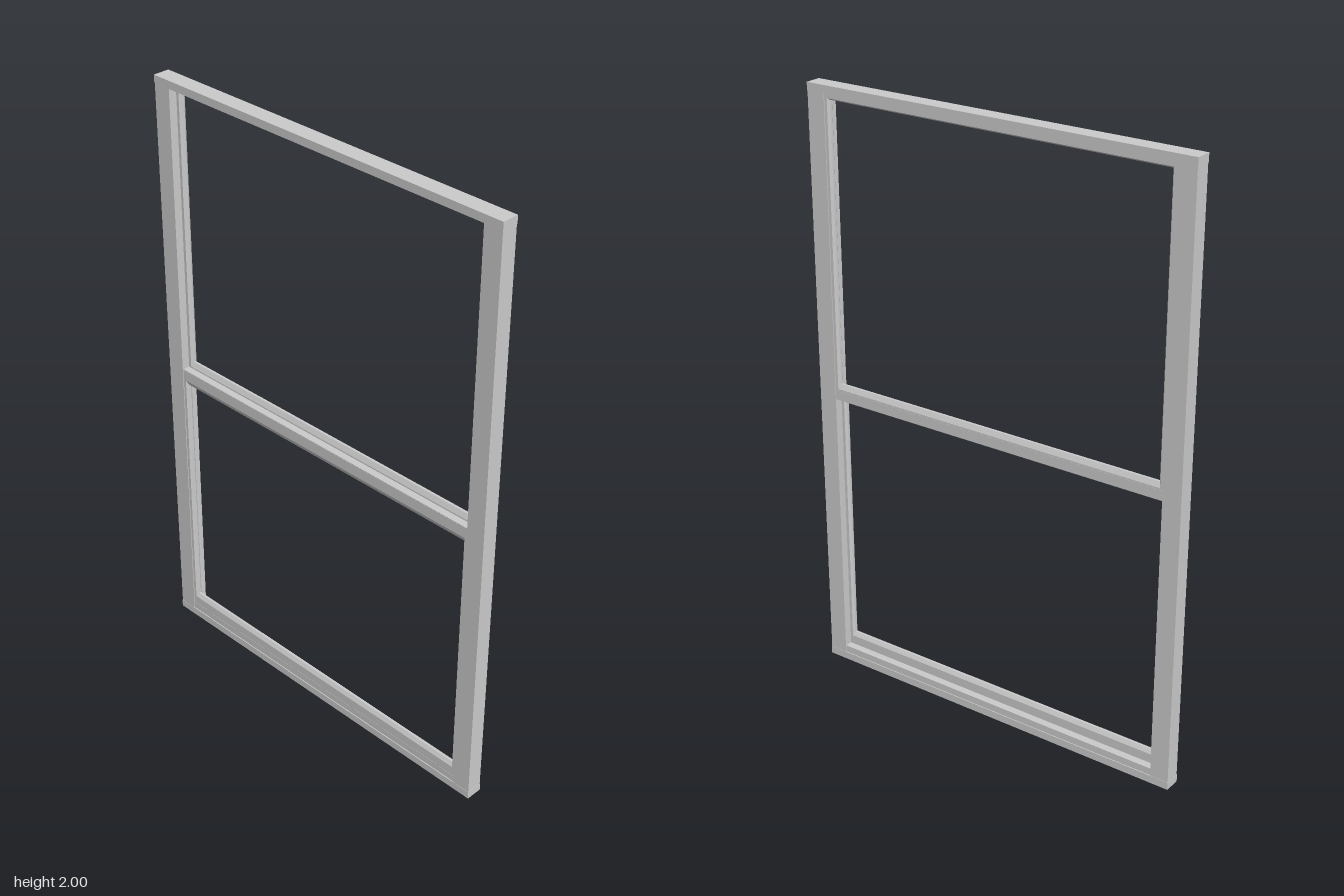
import * as THREE from 'three';

const material = new THREE.MeshStandardMaterial({ color: 0xcccccc, flatShading: true });

function addBox(group, name, w, h, d, x, y, z) {
  const mesh = new THREE.Mesh(new THREE.BoxGeometry(w, h, d), material);
  mesh.name = name;
  mesh.position.set(x, y, z);
  group.add(mesh);
}

// Mitred rectangular frame. Profile points are [inset fraction, z], from the
// back outer edge round the opening to the front outer edge.
function mitredFrame(x, y0, y1, widths, profile) {
  const { side, top, bottom } = widths;
  const corner = (c, [t, z]) => {
    const sx = c === 0 || c === 3 ? -1 : 1;
    const y = c < 2 ? y0 + bottom * t : y1 - top * t;
    return [sx * (x - side * t), y, z];
  };
  const positions = [];
  for (let c = 0; c < 4; c++) {
    const n = (c + 1) % 4;
    profile.forEach((p, i) => {
      const q = profile[(i + 1) % profile.length];
      const a = corner(c, p), b = corner(n, p), d = corner(c, q), e = corner(n, q);
      positions.push(...a, ...d, ...b, ...b, ...d, ...e);
    });
  }
  const geometry = new THREE.BufferGeometry();
  geometry.setAttribute('position', new THREE.Float32BufferAttribute(positions, 3));
  geometry.computeVertexNormals();
  return geometry;
}

function makeSash(name, y0, y1, widths, z) {
  const d = 0.012;
  // Flat face with a bevelled glazing edge on both sides
  const profile = [[0, z - d], [0.7, z - d], [1, z - d * 0.35], [1, z + d * 0.35], [0.7, z + d], [0, z + d]];
  const mesh = new THREE.Mesh(mitredFrame(0.615, y0, y1, widths, profile), material);
  mesh.name = name;
  return mesh;
}

export function createModel() {
  const group = new THREE.Group();
  group.name = 'sashWindow';
  const depth = 0.056;

  // Outer frame
  addBox(group, 'head', 1.35, 0.026, depth, 0, 1.987, 0);
  addBox(group, 'sill', 1.35, 0.026, depth, 0, 0.013, 0);
  for (const s of [-1, 1]) {
    addBox(group, s > 0 ? 'leftJamb' : 'rightJamb', 0.063, 1.948, depth - 0.002, s * 0.6425, 1, 0);
  }

  // Stepped threshold under the lower sash
  addBox(group, 'sillStep', 1.222, 0.024, 0.05, 0, 0.038, 0);

  // Upper sash behind, lower sash in front, overlapping at the meeting rail
  group.add(makeSash('upperSash', 0.975, 1.974, { side: 0.02, top: 0.019, bottom: 0.055 }, -0.0125));
  group.add(makeSash('lowerSash', 0.05, 1.01, { side: 0.02, top: 0.055, bottom: 0.045 }, 0.0125));

  // Interlocking strip along the front of the meeting rail
  addBox(group, 'meetingRailStrip', 1.222, 0.03, 0.05, 0, 0.993, 0);

  return group;
}
